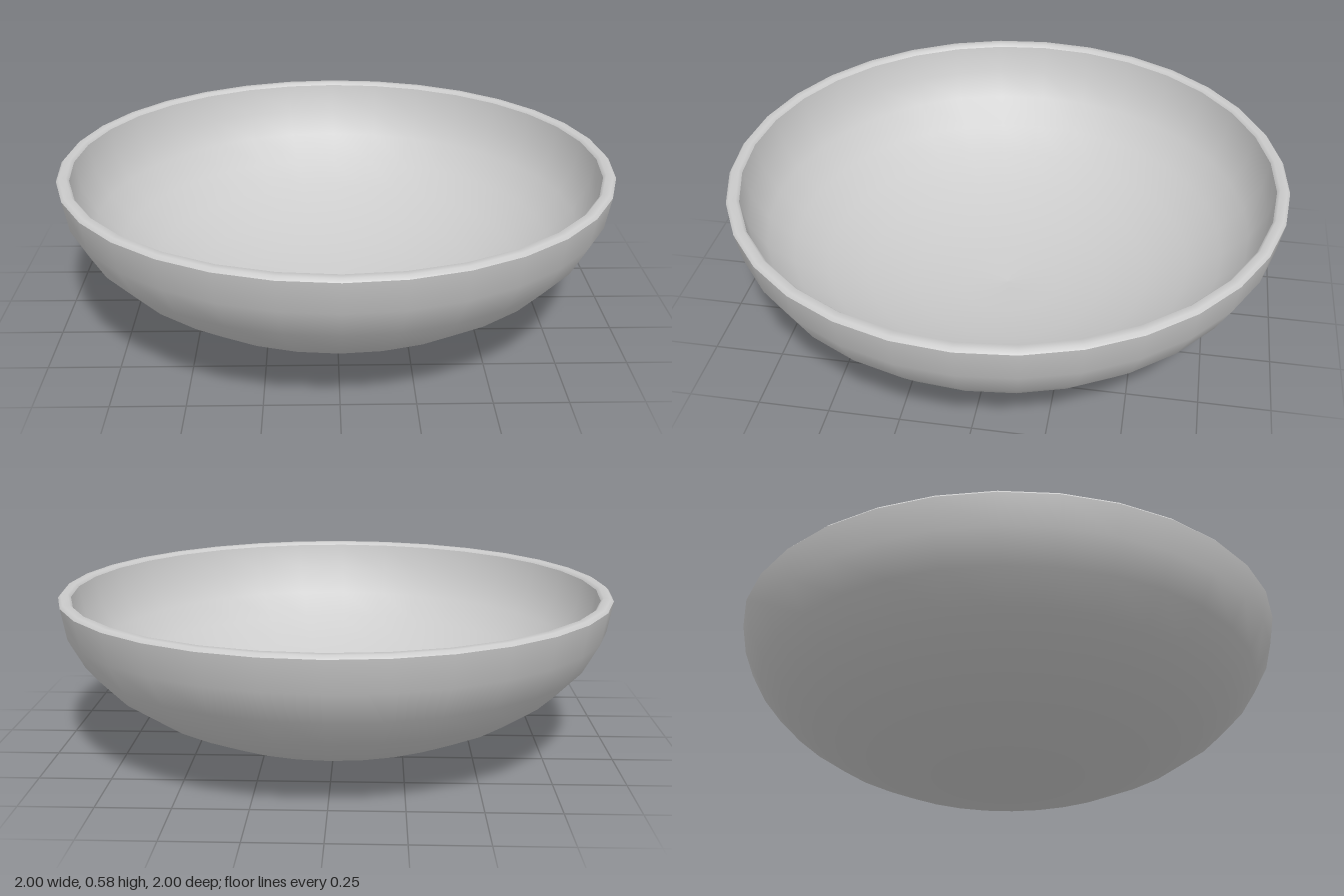
import * as THREE from 'three';

const SIDES = 32, RINGS = 8;
const TOP = 0.575;

// Quarter-ellipse profile from the bottom pole up to the rim
function bowlProfile(radius, depth) {
  const points = [];
  for (let i = 0; i <= RINGS; i++) {
    const a = (i / RINGS) * Math.PI / 2;
    points.push(new THREE.Vector2(radius * Math.sin(a), TOP - depth * Math.cos(a)));
  }
  return points;
}

export function createModel() {
  const group = new THREE.Group();
  group.name = 'bowl';
  const material = new THREE.MeshStandardMaterial({ color: 0xcccccc, side: THREE.DoubleSide });

  const addLathe = (name, points) => {
    const mesh = new THREE.Mesh(new THREE.LatheGeometry(points, SIDES), material);
    mesh.name = name;
    group.add(mesh);
  };

  // Outer and inner walls
  const outer = bowlProfile(1, 0.567);
  const inner = bowlProfile(0.955, 0.525).reverse();
  addLathe('outerShell', outer);
  addLathe('innerShell', inner);

  // Softly bevelled lip joining the two walls
  addLathe('rim', [
    outer[RINGS],
    new THREE.Vector2(0.99, 0.586),
    new THREE.Vector2(0.965, 0.586),
    inner[0],
  ]);

  return group;
}
